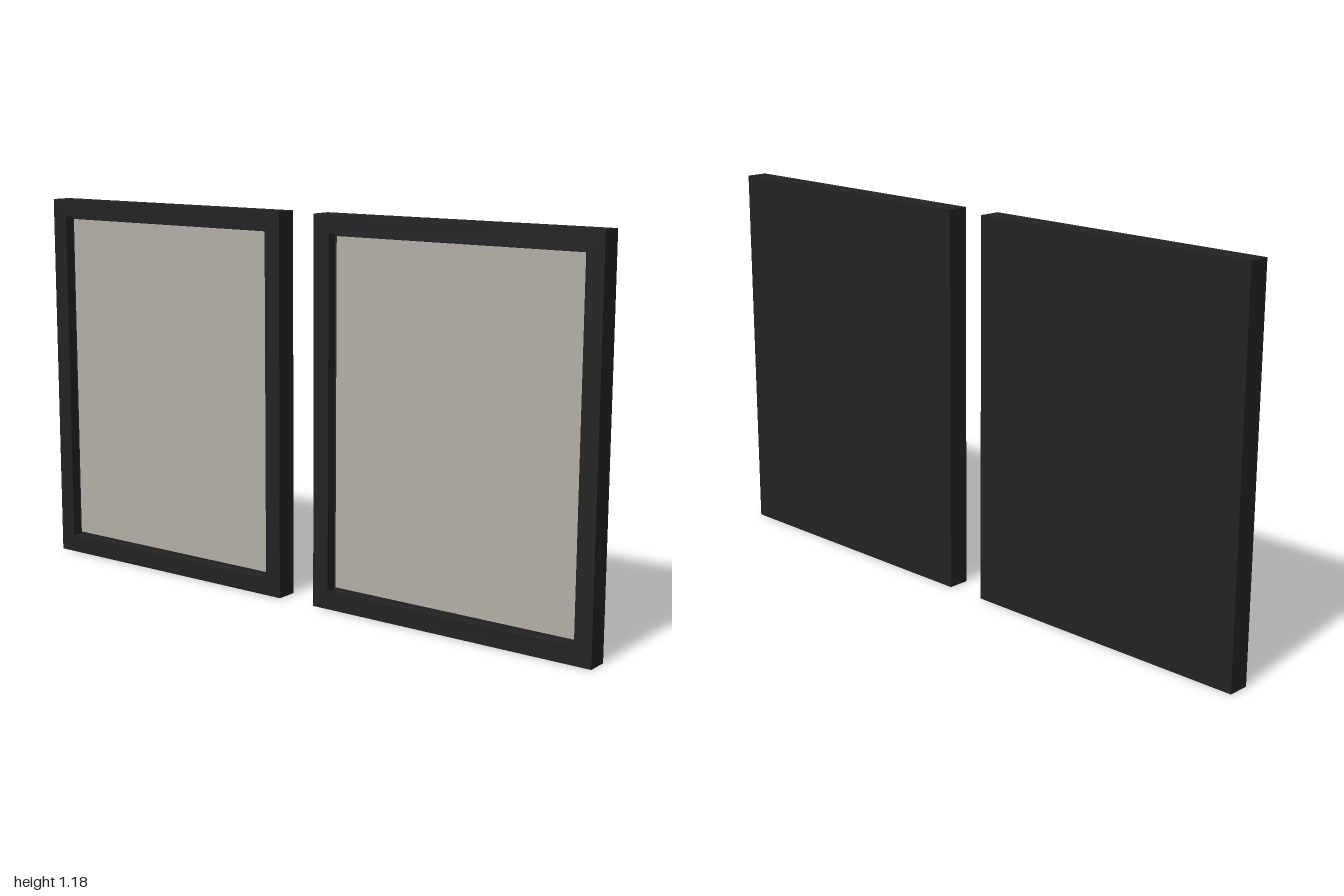
import * as THREE from 'three';

const W = 0.936, H = 1.178, D = 0.068; // outer size of one frame
const RIM = 0.054;                     // width of the frame's face
const MARGIN = 0.064;                  // picture inset from the outer edge
const RECESS = 0.026;                  // depth of the picture below the rim

const frameMaterial = new THREE.MeshStandardMaterial({ color: 0x222222 });
frameMaterial.name = 'black frame';
const pictureMaterial = new THREE.MeshStandardMaterial({ color: 0xb3aea6 });
pictureMaterial.name = 'warm grey picture';

function addBox(group, name, material, [w, h, d], [x, y, z]) {
  const mesh = new THREE.Mesh(new THREE.BoxGeometry(w, h, d), material);
  mesh.name = name;
  mesh.position.set(x, y, z);
  group.add(mesh);
}

function rectangle(target, w, h) {
  const x = w / 2, y = h / 2;
  target.moveTo(-x, -y).lineTo(x, -y).lineTo(x, y).lineTo(-x, y).closePath();
  return target;
}

function createFrame() {
  const group = new THREE.Group();
  const plate = 0.006;
  const backDepth = D - RECESS - plate;

  // Rim with a rectangular opening, in front of the solid back
  const shape = rectangle(new THREE.Shape(), W, H);
  shape.holes.push(rectangle(new THREE.Path(), W - 2 * RIM, H - 2 * RIM));
  const rimGeometry = new THREE.ExtrudeGeometry(shape, { depth: D - backDepth, bevelEnabled: false });
  const rim = new THREE.Mesh(rimGeometry, frameMaterial);
  rim.name = 'rim';
  rim.position.set(0, H / 2, -D / 2 + backDepth);
  group.add(rim);

  addBox(group, 'backPanel', frameMaterial, [W, H, backDepth], [0, H / 2, -D / 2 + backDepth / 2]);

  // Picture plate lying on the back panel
  addBox(group, 'picture', pictureMaterial, [W - 2 * MARGIN, H - 2 * MARGIN, plate],
    [0, H / 2, -D / 2 + backDepth + plate / 2]);
  return group;
}

export function createModel() {
  const model = new THREE.Group();
  model.name = 'pictureFramePair';
  for (const [name, side] of [['leftFrame', 1], ['rightFrame', -1]]) {
    const frame = createFrame();
    frame.name = name;
    frame.position.x = side * (1 - W / 2);
    model.add(frame);
  }
  return model;
}
